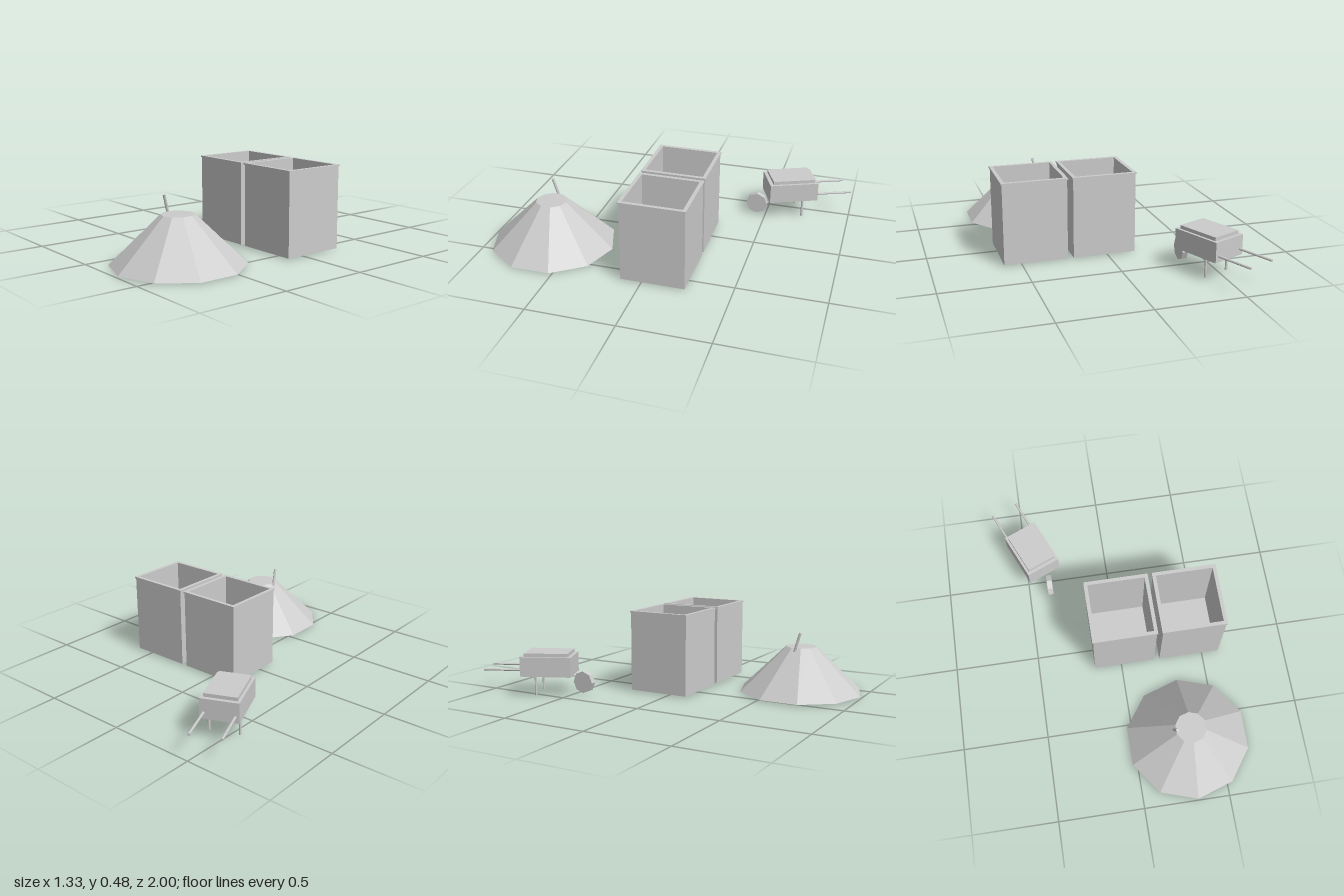
import * as THREE from 'three';

const grey = new THREE.MeshStandardMaterial({ color: 0xcccccc, flatShading: true });
grey.name = 'plain grey';

function add(parent, name, geometry, x = 0, y = 0, z = 0) {
  const mesh = new THREE.Mesh(geometry, grey);
  mesh.name = name;
  mesh.position.set(x, y, z);
  parent.add(mesh);
  return mesh;
}

// Round bar between two points
function bar(parent, name, from, to, radius, sides = 8) {
  const a = new THREE.Vector3(...from), b = new THREE.Vector3(...to);
  const dir = b.clone().sub(a);
  const mesh = add(parent, name, new THREE.CylinderGeometry(radius, radius, dir.length(), sides));
  mesh.position.copy(a).add(b).multiplyScalar(0.5);
  mesh.quaternion.setFromUnitVectors(new THREE.Vector3(0, 1, 0), dir.normalize());
  return mesh;
}

// Upright square tube, centred on the origin in x and z, standing on y = 0
function squareTube(outer, inner, height) {
  const square = (Type, s) => new Type([
    new THREE.Vector2(-s, -s), new THREE.Vector2(s, -s),
    new THREE.Vector2(s, s), new THREE.Vector2(-s, s)]);
  const shape = square(THREE.Shape, outer);
  shape.holes.push(square(THREE.Path, inner));
  const geo = new THREE.ExtrudeGeometry(shape, { depth: height, bevelEnabled: false });
  return geo.rotateX(-Math.PI / 2);
}

// Open square bin with a narrow rim
function makeBin(name, x) {
  const bin = new THREE.Group();
  bin.name = name;
  add(bin, 'binWalls', squareTube(0.182, 0.167, 0.464), 0, 0.008, 0);
  add(bin, 'binRim', squareTube(0.187, 0.166, 0.009), 0, 0.471, 0);
  add(bin, 'binFloor', new THREE.BoxGeometry(0.336, 0.015, 0.336), 0, 0.018, 0);
  bin.position.set(x, 0, -0.065);
  return bin;
}

// Ten-sided heap with a shovel stuck in it
function makeHeap() {
  const group = new THREE.Group();
  group.name = 'heapAndShovel';
  add(group, 'heap', new THREE.CylinderGeometry(0.09, 0.363, 0.265, 10), 0.317, 0.14, 0.63);
  bar(group, 'shovelHandle', [0.229, 0.364, 0.654], [0.213, 0.14, 0.594], 0.008);
  const blade = add(group, 'shovelBlade', new THREE.BoxGeometry(0.072, 0.15, 0.025), 0.217, 0.077, 0.634);
  blade.rotation.x = -0.15;
  return group;
}

function makeWheelbarrow() {
  const barrow = new THREE.Group();
  barrow.name = 'wheelbarrow';
  const body = new THREE.Group();
  body.name = 'barrowBody';
  add(body, 'tray', new THREE.BoxGeometry(0.209, 0.114, 0.296), 0, 0.177, 0);
  add(body, 'load', new THREE.BoxGeometry(0.179, 0.024, 0.255), 0, 0.242, 0);
  for (const side of [-1, 1]) {
    bar(body, 'handle', [side * 0.083, 0.155, -0.365], [side * 0.083, 0.155, -0.13], 0.007);
    bar(body, 'leg', [side * 0.083, 0.008, -0.061], [side * 0.083, 0.13, -0.061], 0.007);
  }
  body.rotation.y = 0.403;
  body.position.set(-0.446, 0, -0.632);
  // Wheel runs square to the z axis while the body is turned
  const wheel = new THREE.CylinderGeometry(0.065, 0.065, 0.032, 8).rotateZ(Math.PI / 2);
  add(barrow, 'wheel', wheel, -0.367, 0.075, -0.444);
  barrow.add(body);
  return barrow;
}

export function createModel() {
  const model = new THREE.Group();
  model.name = 'compostCorner';
  model.add(makeBin('rightBin', 0.02), makeBin('leftBin', 0.418), makeHeap(), makeWheelbarrow());
  return model;
}
